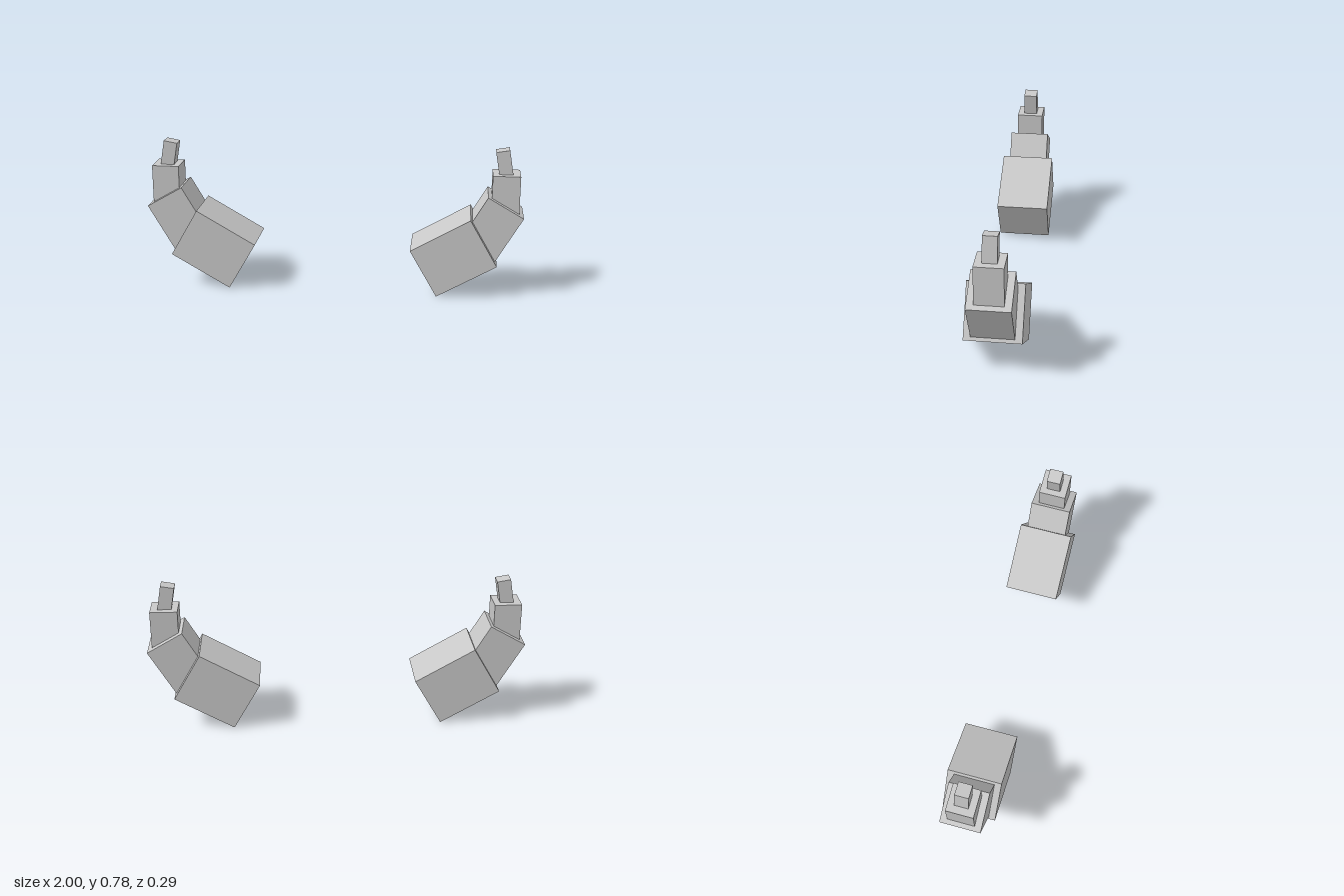
import * as THREE from 'three';

const U = 0.072; // segment size unit

// Horn segments from root to tip: name, centre x, centre y, tilt in degrees, width, height, depth
const SEGMENTS = [
  ['hornRoot', 0.642, 0.215, 30, 5 * U, 4 * U, 4 * U],
  ['hornLower', 0.834, 0.367, -30, 3 * U, 4 * U, 3 * U],
  ['hornUpper', 0.904, 0.545, 0, 2 * U, 3 * U, 2 * U],
  ['hornTip', 0.892, 0.706, 10, U, 2 * U, U],
];

export function createModel() {
  const model = new THREE.Group();
  model.name = 'hornPair';
  const lightGrey = new THREE.MeshStandardMaterial({ color: 0xc8c8c8 });
  lightGrey.name = 'lightGrey';

  // Each horn curves outward and up, mirrored across x = 0
  for (const side of [1, -1]) {
    const horn = new THREE.Group();
    horn.name = side > 0 ? 'leftHorn' : 'rightHorn';
    for (const [name, x, y, tilt, w, h, d] of SEGMENTS) {
      const mesh = new THREE.Mesh(new THREE.BoxGeometry(w, h, d), lightGrey);
      mesh.name = name;
      mesh.position.set(side * x, y, 0);
      mesh.rotation.z = side * THREE.MathUtils.degToRad(tilt);
      horn.add(mesh);
    }
    model.add(horn);
  }
  return model;
}
